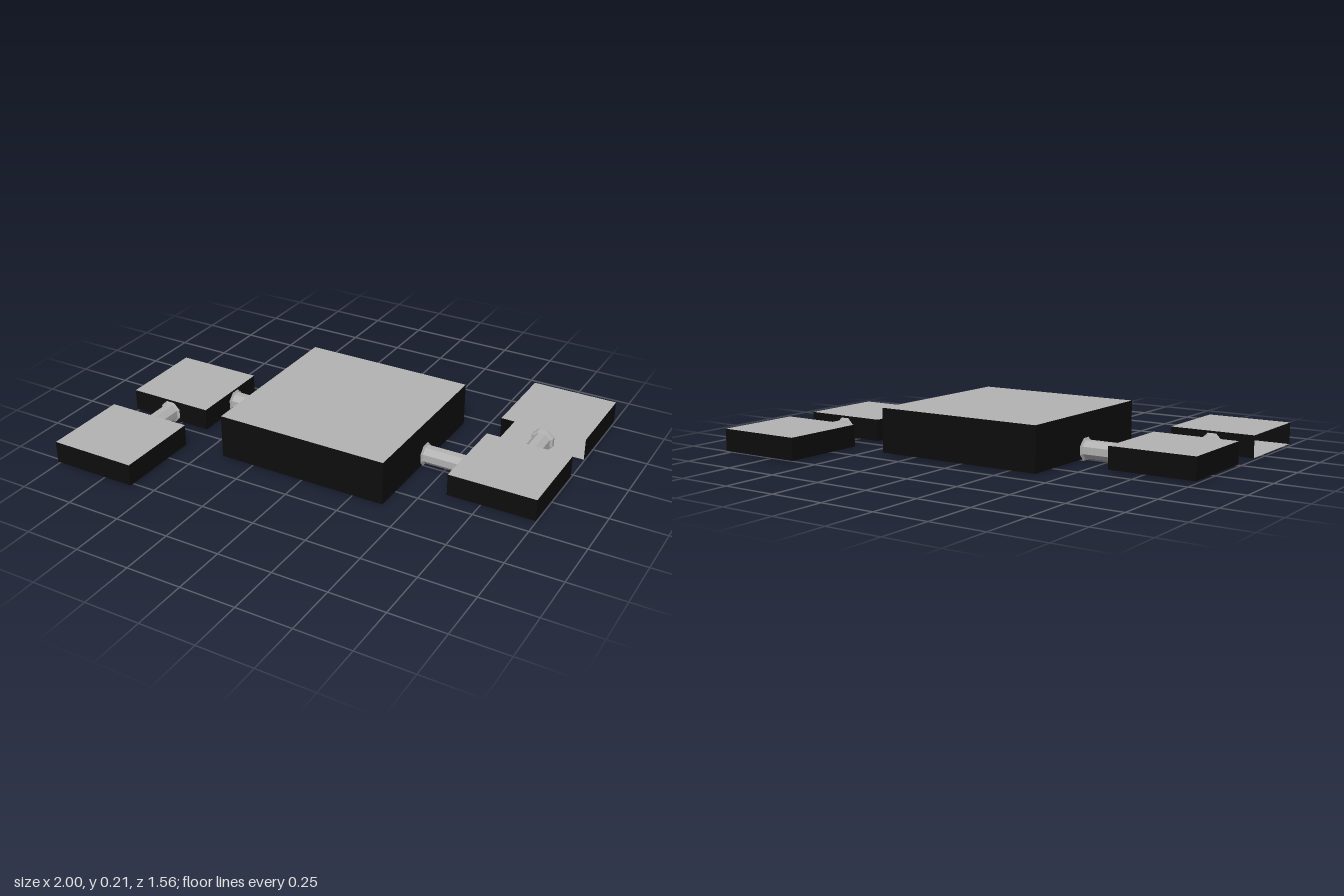
import * as THREE from 'three';

export function createModel() {
  const model = new THREE.Group();
  const mat = (name, color) =>
    new THREE.MeshStandardMaterial({ name, color, side: THREE.DoubleSide, flatShading: true });
  const grey = mat('grey', 0xb3b3b3);
  const black = mat('black', 0x0d0d0d);

  // Block with grey top and bottom and black walls; one wall may be left open.
  // Wall numbers: 0 +x, 1 -x, 2 +y, 3 -y, 4 +z, 5 -z
  function block(name, w, h, x, z, openWall = -1) {
    const geo = new THREE.BoxGeometry(w, h, w);
    const all = Array.from(geo.index.array);
    const index = [];
    geo.clearGroups();
    for (let f = 0; f < 6; f++) {
      if (f === openWall) continue;
      geo.addGroup(index.length, 6, f === 2 || f === 3 ? 0 : 1);
      index.push(...all.slice(f * 6, f * 6 + 6));
    }
    geo.setIndex(index);
    const mesh = new THREE.Mesh(geo, [grey, black]);
    mesh.name = name;
    mesh.position.set(x, 0.01 + h / 2, z);
    model.add(mesh);
  }

  // Eight-sided connector with a wider collar at each end
  function connector(name, gap, x, z, alongX) {
    const a = gap / 2, k = 1 / Math.cos(Math.PI / 8);
    const profile = [
      [0, -a - 0.02], [0.05 * k, -a - 0.02], [0.05 * k, -a], [0.039 * k, -a + 0.006],
      [0.039 * k, a - 0.006], [0.05 * k, a], [0.05 * k, a + 0.02], [0, a + 0.02],
    ].map(([r, y]) => new THREE.Vector2(r, y));
    const geo = new THREE.LatheGeometry(profile, 8, Math.PI / 8);
    if (alongX) geo.rotateZ(-Math.PI / 2);
    else geo.rotateX(Math.PI / 2);
    const mesh = new THREE.Mesh(geo, grey);
    mesh.name = name;
    mesh.position.set(x, 0.05, z);
    model.add(mesh);
  }

  block('mainBlock', 0.8, 0.2, 0, -0.02);

  // Side blocks, stepped forward on one side and backward on the other
  block('rightInnerBlock', 0.4, 0.1, -0.8, 0.02);
  block('rightFrontBlock', 0.4, 0.1, -0.8, 0.58, 1);
  block('leftInnerBlock', 0.4, 0.1, 0.8, -0.02);
  block('leftRearBlock', 0.4, 0.1, 0.8, -0.58, 4);

  // Connectors
  connector('rightConnector', 0.2, -0.5, -0.02, true);
  connector('leftConnector', 0.2, 0.5, -0.02, true);
  connector('rightFrontConnector', 0.16, -0.8, 0.3, false);
  connector('leftRearConnector', 0.16, 0.8, -0.3, false);

  return model;
}
